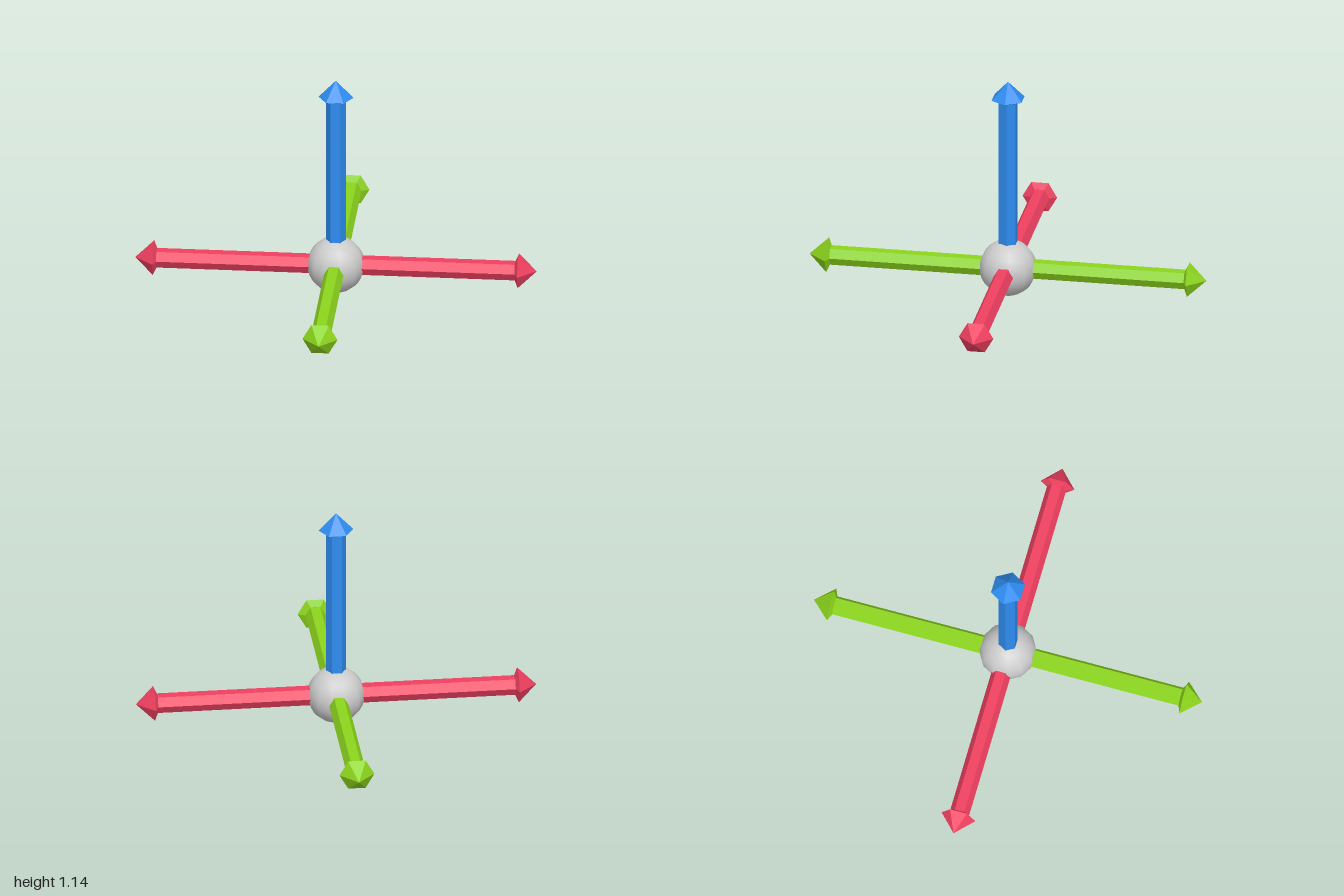
import * as THREE from 'three';

const HUB_R = 0.143;

// Hexagonal arrow pointing along +y, from the hub centre to its tip at y = 1
function makeArrow(name, color, phase) {
  const arrow = new THREE.Group();
  arrow.name = name;
  const material = new THREE.MeshStandardMaterial({ color, flatShading: true });

  const shaft = new THREE.Mesh(
    new THREE.CylinderGeometry(0.049, 0.049, 0.9, 6, 1, false, phase), material);
  shaft.name = name + 'Shaft';
  shaft.position.y = 0.45;

  // Head: short bevelled underside, then a pointed cone
  const profile = [[0, 0.893], [0.05, 0.893], [0.087, 0.909], [0, 1]]
    .map(([r, y]) => new THREE.Vector2(r, y));
  const head = new THREE.Mesh(new THREE.LatheGeometry(profile, 6, phase), material);
  head.name = name + 'Head';

  arrow.add(shaft, head);
  arrow.position.y = HUB_R;
  return arrow;
}

export function createModel() {
  const model = new THREE.Group();
  model.name = 'axisArrows';

  // Central ball, twelve-sided around the vertical axis
  const hub = new THREE.Mesh(
    new THREE.SphereGeometry(HUB_R, 12, 16, Math.PI / 12),
    new THREE.MeshStandardMaterial({ color: 0xcccccc }));
  hub.name = 'hub';
  hub.position.y = HUB_R;
  model.add(hub);

  // Upright arrow
  model.add(makeArrow('upArrow', 0x2e8cf0, Math.PI / 2));

  // Mirrored pairs of horizontal arrows
  for (const s of [1, -1]) {
    const side = makeArrow(s > 0 ? 'leftArrow' : 'rightArrow', 0xf04060, 0);
    side.rotation.z = -s * Math.PI / 2;
    const depth = makeArrow(s > 0 ? 'frontArrow' : 'backArrow', 0x8bd41c, Math.PI / 2);
    depth.rotation.x = s * Math.PI / 2;
    model.add(side, depth);
  }
  return model;
}
